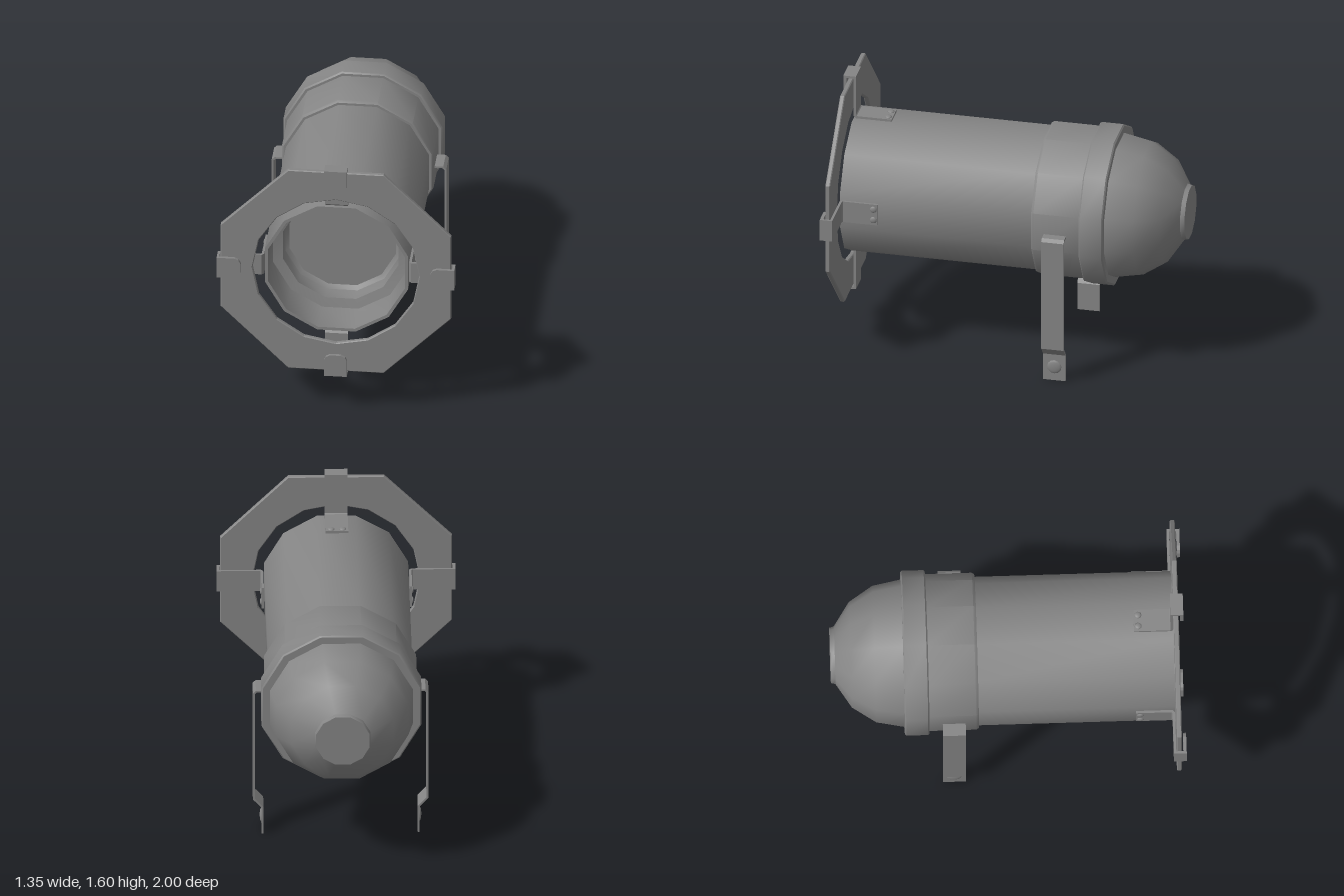
import * as THREE from 'three';
import { toCreasedNormals } from 'three/addons/utils/BufferGeometryUtils.js';

const AXIS_Y = 0.923;
const SIDES = 12;
const material = new THREE.MeshStandardMaterial({ color: 0x858585, side: THREE.DoubleSide });

function mesh(name, geometry, parent) {
  const m = new THREE.Mesh(geometry, material);
  m.name = name;
  parent.add(m);
  return m;
}

// Turned part around the z axis; profile is [distance to flat, z], going forward on the outside
function turned(name, profile, parent) {
  const k = 1 / Math.cos(Math.PI / SIDES);
  const points = profile.map(([r, z]) => new THREE.Vector2(r * k, z));
  const g = new THREE.LatheGeometry(points, SIDES, Math.PI / SIDES).rotateX(Math.PI / 2);
  return mesh(name, toCreasedNormals(g, 0.65), parent);
}

// Bent sheet strip: a mitred path of given thickness, extruded to its width
function strip(path, thickness, width) {
  const pts = path.map(p => new THREE.Vector2(...p));
  const normal = i => {
    const d = pts[i + 1].clone().sub(pts[i]).normalize();
    return new THREE.Vector2(-d.y, d.x);
  };
  const offsets = pts.map((p, i) => {
    const a = normal(Math.max(i - 1, 0));
    const b = normal(Math.min(i, pts.length - 2));
    return a.clone().add(b).multiplyScalar(thickness / 2 / (1 + a.dot(b)));
  });
  const outline = [
    ...pts.map((p, i) => p.clone().add(offsets[i])),
    ...pts.map((p, i) => p.clone().sub(offsets[i])).reverse(),
  ];
  return new THREE.ExtrudeGeometry(new THREE.Shape(outline), { depth: width, bevelEnabled: false })
    .translate(0, 0, -width / 2);
}

function ring(radius, count, start) {
  return Array.from({ length: count }, (_, i) => {
    const a = start + (i / count) * Math.PI * 2;
    return new THREE.Vector2(radius * Math.cos(a), radius * Math.sin(a));
  });
}

// Domed rivet head pointing along +y
function rivet(radius, height) {
  return new THREE.SphereGeometry(radius, 12, 4, 0, Math.PI * 2, 0, Math.PI / 2)
    .scale(1, height / radius, 1);
}

// Clip at the top of the frame, hooked over its edge and riveted to the barrel
function frameClip() {
  const clip = new THREE.Group();
  clip.name = 'frameClip';
  const path = [[0.72, 0.42], [0.925, 0.42], [0.934, 0.429], [0.934, 0.67], [0.995, 0.67]];
  mesh('clipStrap', strip(path, 0.014, 0.13).rotateY(-Math.PI / 2), clip);
  const tab = new THREE.Shape([
    [-0.065, 0.677], [-0.065, 0.575], [-0.055, 0.553], [-0.03, 0.54],
    [0.03, 0.54], [0.055, 0.553], [0.065, 0.575], [0.065, 0.677],
  ].map(p => new THREE.Vector2(...p)));
  mesh('clipTab', new THREE.ExtrudeGeometry(tab, { depth: 0.018, bevelEnabled: false })
    .translate(0, 0, 0.982), clip);
  for (const x of [-0.033, 0.033]) {
    mesh('clipRivet', rivet(0.02, 0.009), clip).position.set(x, 0.427, 0.745);
  }
  return clip;
}

// Hanging leg on the +x side
function yokeLeg() {
  const leg = new THREE.Group();
  leg.name = 'yokeLeg';
  const path = [[0.41, 0.909], [0.478, 0.909], [0.492, 0.895], [0.492, 0.22],
    [0.442, 0.165], [0.442, 0]];
  mesh('legStrap', strip(path, 0.011, 0.13), leg).position.z = -0.31;
  const bolt = mesh('legBolt', rivet(0.043, 0.012).rotateZ(-Math.PI / 2), leg);
  bolt.position.set(0.446, 0.085, -0.31);
  return leg;
}

export function createModel() {
  const model = new THREE.Group();
  model.name = 'stageLamp';
  const body = new THREE.Group();
  body.name = 'body';
  body.position.y = AXIS_Y;
  model.add(body);

  // Housing
  turned('rearDome', [[0, -1], [0.152, -1], [0.158, -0.975], [0.29, -0.885],
    [0.375, -0.75], [0.405, -0.59]], body);
  turned('rearCollar', [[0.4, -0.59], [0.445, -0.59], [0.453, -0.582], [0.453, -0.458],
    [0.445, -0.45], [0.42, -0.45]], body);
  turned('frontCollar', [[0.42, -0.455], [0.431, -0.45], [0.431, -0.185],
    [0.422, -0.17], [0.4, -0.17]], body);
  turned('barrel', [[0.408, -0.18], [0.408, 0.942], [0.39, 0.942], [0.385, 0.72]], body);

  // Stepped lens inside the mouth
  turned('lens', [[0.387, 0.73], [0.33, 0.715], [0.325, 0.63], [0.303, 0.61], [0, 0.61]], body);

  // Octagonal filter frame with a round opening and softened edges
  const plate = new THREE.Shape(ring(0.656 / Math.cos(Math.PI / 8), 8, Math.PI / 8));
  plate.holes.push(new THREE.Path(ring(0.475, 16, 0).reverse()));
  mesh('filterFrame', new THREE.ExtrudeGeometry(plate, {
    depth: 0.018, bevelThickness: 0.005, bevelSize: 0.005, bevelOffset: -0.005, bevelSegments: 1,
  }).translate(0, 0, 0.95), body);

  for (let i = 0; i < 4; i++) {
    const clip = frameClip();
    clip.rotation.z = i * Math.PI / 2;
    body.add(clip);
  }

  // Pair of hanging legs
  for (const turn of [0, Math.PI]) {
    const leg = yokeLeg();
    leg.rotation.y = turn;
    if (turn) leg.position.z = -0.62;
    model.add(leg);
  }
  return model;
}
